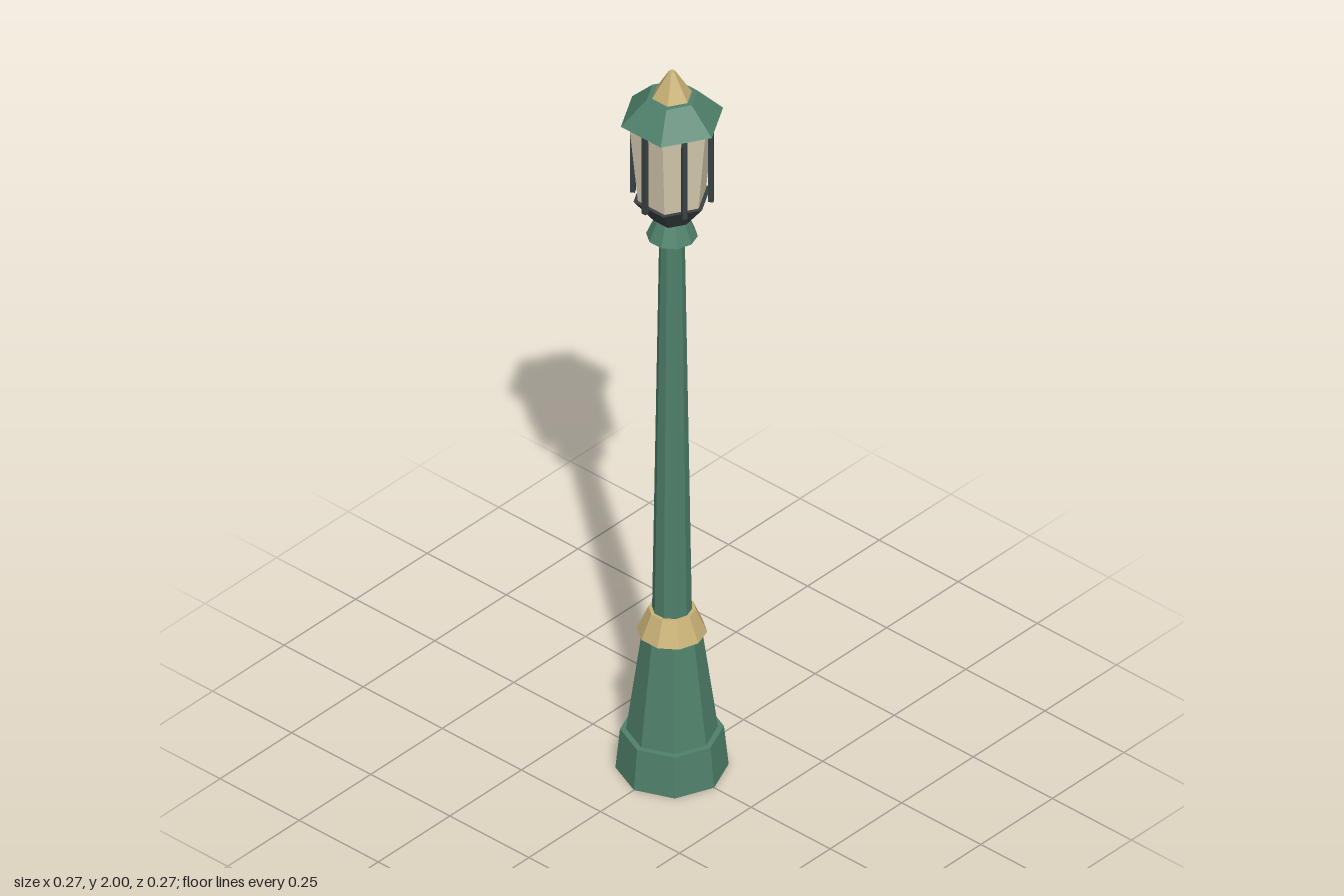
import * as THREE from 'three';

const paint = (name, color) => {
  const m = new THREE.MeshStandardMaterial({ color, flatShading: true });
  m.name = name;
  return m;
};

export function createModel() {
  const group = new THREE.Group();
  const green = paint('green iron', 0x4f806a);
  const gold = paint('pale gold', 0xc8b176);
  const dark = paint('dark iron', 0x394143);
  const glass = paint('cream glass', 0xd6cab0);

  // Tapered many-sided section between two heights
  const section = (name, mat, sides, y0, y1, r0, r1) => {
    const mesh = new THREE.Mesh(new THREE.CylinderGeometry(r1, r0, y1 - y0, sides), mat);
    mesh.name = name;
    mesh.position.y = (y0 + y1) / 2;
    group.add(mesh);
  };

  // Pedestal and post
  section('plinth', green, 8, 0, 0.11, 0.133, 0.122);
  section('pedestal', green, 8, 0.11, 0.395, 0.108, 0.07);
  section('lowerCollar', gold, 10, 0.392, 0.455, 0.083, 0.056);
  section('post', green, 10, 0.45, 1.54, 0.047, 0.03);
  section('neck', green, 10, 1.53, 1.585, 0.061, 0.038);

  // Six-sided lantern
  section('lanternCup', dark, 6, 1.58, 1.645, 0.045, 0.095);
  section('lanternGlass', glass, 6, 1.645, 1.872, 0.084, 0.106);
  section('roof', green, 6, 1.868, 1.932, 0.126, 0.062);
  section('finial', gold, 6, 1.932, 2, 0.049, 0.008);

  // Upright bars around the glass
  const barGeometry = new THREE.BoxGeometry(0.012, 0.23, 0.012);
  for (let i = 0; i < 6; i++) {
    const a = (i * Math.PI) / 3;
    const bar = new THREE.Mesh(barGeometry, dark);
    bar.name = 'lanternBar';
    bar.position.set(Math.cos(a) * 0.094, 1.756, Math.sin(a) * 0.094);
    bar.rotation.y = -a;
    group.add(bar);
  }
  return group;
}
